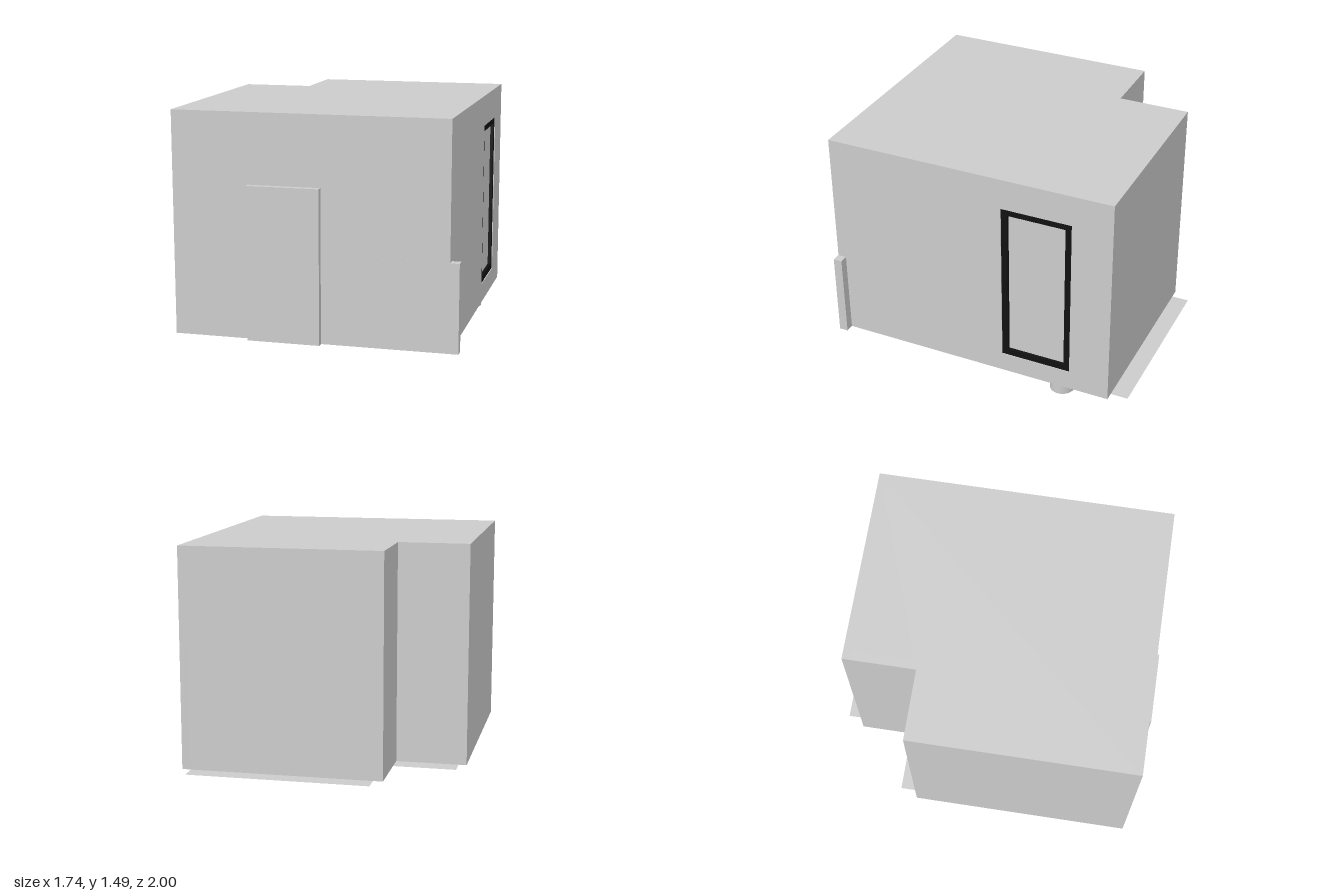
import * as THREE from 'three';

const BASE = 0.115, TOP = 1.485, WALL = 0.055;
const grey = new THREE.MeshStandardMaterial({ color: 0xcccccc, side: THREE.DoubleSide });
const black = new THREE.MeshStandardMaterial({ color: 0x111111 });

// Room outline as [x, z], running from the front left corner round the back notch
const OUTLINE = [[-0.87, 0.96], [0.815, 0.96], [0.815, -0.89], [-0.43, -0.89], [-0.43, -0.44], [-0.87, -0.44]];
// Window opening: distance along the wall, and height
const WINDOW = { u0: 1.145, u1: 1.595, y0: 0.24, y1: 1.29 };

function rect(Type, x0, y0, x1, y1) {
  return new Type([[x0, y0], [x1, y0], [x1, y1], [x0, y1]].map(p => new THREE.Vector2(...p)));
}

function add(parent, name, geometry, material = grey) {
  const mesh = new THREE.Mesh(geometry, material);
  mesh.name = name;
  parent.add(mesh);
  return mesh;
}

function box(parent, name, [x0, y0, z0], [x1, y1, z1], material) {
  const mesh = add(parent, name, new THREE.BoxGeometry(x1 - x0, y1 - y0, z1 - z0), material);
  mesh.position.set((x0 + x1) / 2, (y0 + y1) / 2, (z0 + z1) / 2);
  return mesh;
}

// Extruded panel whose outer face lies at local z = 0
function panel(shape, depth) {
  return new THREE.ExtrudeGeometry(shape, { depth, bevelEnabled: false }).translate(0, 0, -depth);
}

// Thin horizontal sheet from [x, z] points
function sheet(parent, name, points, y) {
  const shape = new THREE.Shape(points.map(([x, z]) => new THREE.Vector2(x, -z)));
  add(parent, name, new THREE.ShapeGeometry(shape).rotateX(-Math.PI / 2)).position.y = y;
}

export function createModel() {
  const room = new THREE.Group();
  room.name = 'room';

  // Walls, one per outline edge; the right one holds the window
  const names = ['frontWall', 'rightWall', 'backWall', 'notchSideWall', 'notchBackWall', 'leftWall'];
  OUTLINE.forEach(([x, z], i) => {
    const [nx, nz] = OUTLINE[(i + 1) % OUTLINE.length];
    const shape = rect(THREE.Shape, 0, BASE, Math.hypot(nx - x, nz - z), TOP);
    const wall = new THREE.Group();
    wall.name = names[i] + 'Group';
    wall.position.set(x, 0, z);
    wall.rotation.y = Math.atan2(z - nz, nx - x);
    room.add(wall);
    if (names[i] === 'rightWall') {
      const { u0, u1, y0, y1 } = WINDOW, f = 0.04;
      shape.holes.push(rect(THREE.Path, u0, y0, u1, y1));
      const frame = rect(THREE.Shape, u0, y0, u1, y1);
      frame.holes.push(rect(THREE.Path, u0 + f, y0 + f, u1 - f, y1 - f));
      add(wall, 'windowFrame', panel(frame, 0.03), black).position.z = -0.005;
      box(wall, 'windowPane', [u0 + f, y0 + f, -0.035], [u1 - f, y1 - f, -0.025]);
    }
    add(wall, names[i], panel(shape, WALL));
  });

  // Roof and floor
  sheet(room, 'roof', OUTLINE, TOP);
  sheet(room, 'floor', OUTLINE, BASE);

  // Floor sheet showing past the back walls
  sheet(room, 'backFloorLip', [[-0.37, -0.89], [0.76, -0.89], [0.76, -1], [-0.37, -1]], BASE);
  sheet(room, 'notchFloorLip', [[-0.82, -0.44], [-0.43, -0.44], [-0.43, -0.555], [-0.82, -0.555]], BASE);

  // Door, and the low wall beside it
  box(room, 'door', [-0.4, BASE, 0.955], [0.045, 1.055, 1]);
  box(room, 'lowWall', [0.05, BASE, 0.905], [0.87, 0.655, 0.961]);

  // Drain pipe under the floor
  add(room, 'drainPipe', new THREE.CylinderGeometry(0.077, 0.077, 0.12, 32)).position.set(0.682, 0.06, -0.537);

  return room;
}
